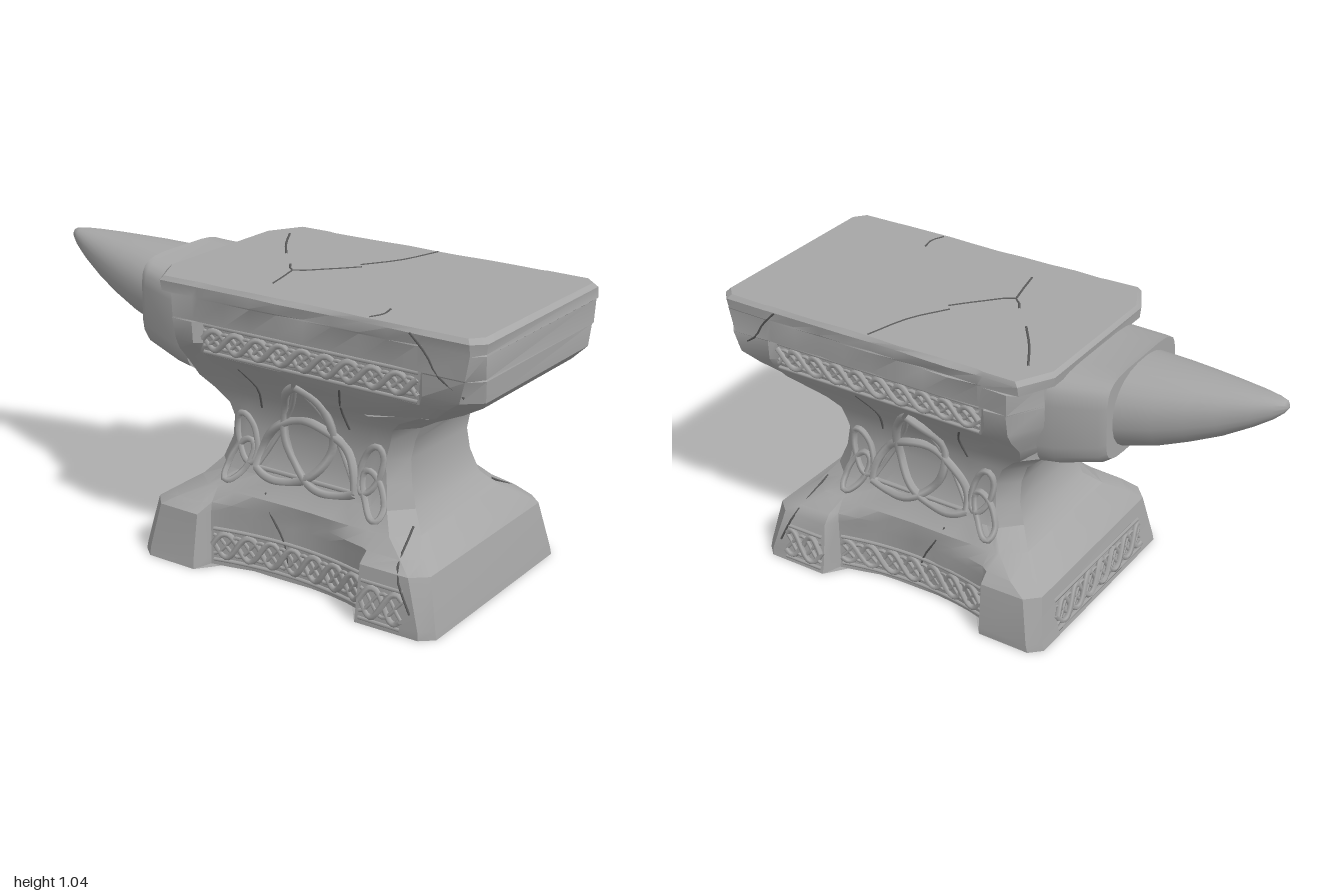
import * as THREE from 'three';
import { toCreasedNormals } from 'three/addons/utils/BufferGeometryUtils.js';

const V = (x, y, z) => new THREE.Vector3(x, y, z);

// Body levels: y, left x, right x, half depth, corner chamfer
const LEVELS = [
  [0, -0.34, 0.86, 0.44, 0.04], [0.03, -0.338, 0.855, 0.438, 0.04], [0.2, -0.315, 0.815, 0.415, 0.05],
  [0.235, -0.26, 0.77, 0.385, 0.06], [0.28, -0.19, 0.71, 0.33, 0.07], [0.34, -0.14, 0.66, 0.275, 0.07],
  [0.42, -0.115, 0.63, 0.25, 0.06], [0.5, -0.115, 0.62, 0.24, 0.06], [0.57, -0.14, 0.635, 0.245, 0.06],
  [0.62, -0.2, 0.66, 0.26, 0.07], [0.66, -0.26, 0.72, 0.285, 0.08], [0.72, -0.265, 0.84, 0.325, 0.09],
  [0.78, -0.265, 0.94, 0.375, 0.08], [0.82, -0.265, 0.975, 0.4, 0.06], [0.895, -0.265, 0.985, 0.405, 0.05],
  [0.9, -0.265, 0.985, 0.405, 0.05], [0.98, -0.27, 0.99, 0.407, 0.04], [0.985, -0.31, 0.99, 0.407, 0.04],
  [1.02, -0.31, 0.99, 0.41, 0.04], [1.035, -0.3, 0.978, 0.397, 0.04],
];

// Recessed panels in the long sides: start x, end x, depth at ends, depth in the middle
function recess(y) {
  if (y < 0.3) return [-0.1, 0.58, 0.375, 0.325];
  if (y < 0.7) return [-0.03, 0.52, 9, 9];
  return y > 0.77 && y < 0.898 ? [-0.11, 0.79, 0.38, 0.38] : [-0.11, 0.79, 9, 9];
}

function levelAt(y) {
  let i = 0;
  while (i < LEVELS.length - 2 && LEVELS[i + 1][0] < y) i++;
  const a = LEVELS[i], b = LEVELS[i + 1];
  const t = (y - a[0]) / (b[0] - a[0]);
  return a.map((v, k) => v + (b[k] - v) * t);
}

// Half depth of the body surface at a given x and y
function surfaceZ(x, y) {
  const [, x0, x1, hz, c] = levelAt(y);
  const [xa, xb, zEnd, zMid] = recess(y);
  const t = (x - xa) / (xb - xa);
  if (t > 0 && t < 1) return Math.min(hz, zEnd + (zMid - zEnd) * 4 * t * (1 - t));
  return hz - Math.max(0, x0 + c - x, x - x1 + c);
}

// Closed skin over equal-length rings, with both ends capped
function loft(rings, crease) {
  const n = rings[0].length, pos = [], idx = [];
  rings.forEach(r => r.forEach(p => pos.push(p.x, p.y, p.z)));
  for (let j = 0; j < rings.length - 1; j++) {
    for (let i = 0; i < n; i++) {
      const a = j * n + i, b = j * n + (i + 1) % n;
      idx.push(a, b, b + n, a, b + n, a + n);
    }
  }
  [0, rings.length - 1].forEach((j, end) => {
    const c = rings[j].reduce((s, p) => s.add(p), V(0, 0, 0)).divideScalar(n);
    const k = pos.length / 3;
    pos.push(c.x, c.y, c.z);
    for (let i = 0; i < n; i++) {
      const a = j * n + i, b = j * n + (i + 1) % n;
      if (end) idx.push(k, a, b); else idx.push(k, b, a);
    }
  });
  const g = new THREE.BufferGeometry();
  g.setAttribute('position', new THREE.Float32BufferAttribute(pos, 3));
  g.setIndex(idx);
  return toCreasedNormals(g, crease);
}

// Small repeatable unevenness for hewn edges
function chip(a, b) {
  const s = Math.sin(a * 12.99 + b * 78.23) * 43758.55;
  return (s - Math.floor(s) - 0.5) * 0.009;
}

function bodyRing(level, j) {
  const [y, x0, x1, hz, c] = level;
  const [xa, xb] = recess(y);
  const lx = y > 0.7 ? 0.07 : c, lz = y > 0.7 ? 0.12 : c;
  const front = [[x0, hz - lz], [x0 + lx, hz], [xa, hz]];
  for (let i = 0; i <= 8; i++) {
    const x = xa + 0.025 + (xb - xa - 0.05) * i / 8;
    front.push([x, surfaceZ(x, y)]);
  }
  front.push([xb, hz], [x1 - c, hz], [x1, hz - c]);
  const back = front.map(([x, z]) => [x, -z]).reverse();
  return [...front, ...back].map(([x, z], i) => V(x + chip(i, j), y, z + chip(i + 40, j)));
}

// Section across x: rounded box between two heights
function crossRing(x, bottom, top, half, power, n) {
  const bend = v => Math.sign(v) * Math.pow(Math.abs(v), 2 / power);
  return Array.from({ length: n }, (_, i) => {
    const a = (i + 0.5) / n * Math.PI * 2;
    return V(x, (top + bottom) / 2 + bend(Math.sin(a)) * (top - bottom) / 2, bend(Math.cos(a)) * half);
  });
}

export function createModel() {
  const group = new THREE.Group();
  const stone = new THREE.MeshStandardMaterial({ color: 0xa6a6a6 });
  const crackShade = new THREE.MeshStandardMaterial({ color: 0x5c5c5c });

  function add(name, geometry, material = stone) {
    const mesh = new THREE.Mesh(geometry, material);
    mesh.name = name;
    group.add(mesh);
  }
  function rope(name, points, radius, closed = false, material = stone) {
    const curve = new THREE.CatmullRomCurve3(points, closed);
    add(name, new THREE.TubeGeometry(curve, points.length * 2, radius, 5, closed), material);
  }

  // Base, waist and table in one hewn block
  add('body', loft(LEVELS.map(bodyRing), 0.5));

  // Collar and horn
  add('collar', loft([
    crossRing(-0.24, 0.64, 1.0, 0.285, 5, 24), crossRing(-0.3, 0.65, 1.0, 0.28, 5, 24),
    crossRing(-0.45, 0.69, 1.01, 0.25, 5, 24), crossRing(-0.475, 0.705, 1.015, 0.235, 5, 24),
  ], 0.6));
  add('horn', loft([
    [-0.44, 0.7, 1.005, 0.205], [-0.6, 0.742, 1.01, 0.168], [-0.7, 0.783, 1.01, 0.14], [-0.8, 0.83, 1.01, 0.107],
    [-0.9, 0.89, 1.008, 0.07], [-0.96, 0.932, 1.005, 0.042], [-0.99, 0.96, 1.0, 0.022], [-1, 0.975, 0.99, 0.008],
  ].map(([x, b, t, h]) => crossRing(x, b, t, h, 2.3, 24)), 0.8));

  // Interlaced band: two crossing waves between two rails; place maps (u, y, lift) to space
  function knotBand(name, u0, u1, y0, y1, place) {
    const steps = Math.round((u1 - u0) / 0.018), mid = (y0 + y1) / 2, amp = (y1 - y0) / 2 - 0.02;
    const along = f => Array.from({ length: steps + 1 }, (_, i) => f(u0 + (u1 - u0) * i / steps));
    for (const s of [-1, 1]) {
      rope(name + 'Strand', along(u => {
        const a = (u - u0) * Math.PI * 2 / 0.18;
        return place(u, mid + s * amp * Math.sin(a), 0.004 + s * 0.005 * Math.cos(a));
      }), 0.011);
      rope(name + 'Loop', along(u => {
        const a = (u - u0) * Math.PI * 2 / 0.18;
        return place(u, mid + s * amp * 0.8 * Math.cos(a), 0.002);
      }), 0.007);
      rope(name + 'Rail', along(u => place(u, mid + s * (amp + 0.014), 0.002)), 0.007);
    }
  }

  for (const side of [1, -1]) {
    const onSide = (x, y, lift) => V(x, y, side * (surfaceZ(x, y) + lift));
    knotBand('tableBand', -0.08, 0.76, 0.785, 0.892, onSide);
    knotBand('baseBand', -0.065, 0.545, 0.015, 0.145, onSide);
    knotBand('footBand', 0.59, 0.75, 0.015, 0.155, onSide);

    // Three-pointed knot on the waist: each arc joins two tips past the centre
    const R = 0.235, cx = 0.255, cy = 0.485;
    const tips = [0, 1, 2].map(k => Math.PI / 2 + k * Math.PI * 2 / 3);
    for (const tip of tips) {
      const dir = tip + Math.PI / 3;
      const mx = cx + Math.cos(dir) * R / 2, my = cy + Math.sin(dir) * R / 2;
      rope('waistKnotArc', Array.from({ length: 17 }, (_, i) => {
        const a = dir + Math.PI / 2 + Math.PI * i / 16;
        return onSide(mx + Math.cos(a) * R * 0.866, my + Math.sin(a) * R * 0.866, 0.006 + 0.006 * Math.sin(i * 1.2));
      }), 0.016);
      const next = tip + Math.PI * 2 / 3;
      rope('waistKnotEdge', Array.from({ length: 9 }, (_, i) => {
        const t = i / 8;
        return onSide(cx + R * (Math.cos(tip) * (1 - t) + Math.cos(next) * t),
          cy + R * (Math.sin(tip) * (1 - t) + Math.sin(next) * t), 0.002);
      }), 0.009);
    }

    // Linked loops beside it
    for (const m of [-1, 1]) {
      for (const [dx, y, h, lean] of [[0.255, 0.46, 0.085, 0.02], [0.275, 0.38, 0.075, -0.03]]) {
        rope('waistSideLoop', Array.from({ length: 14 }, (_, i) => {
          const a = i / 14 * Math.PI * 2;
          return onSide(cx + m * (dx + Math.cos(a) * 0.04 + Math.sin(a) * lean), y + Math.sin(a) * h, 0.005);
        }), 0.012, true);
      }
    }

    // Cracks on the long sides
    for (const line of [
      [[0.74, 1.02], [0.8, 0.96], [0.84, 0.9], [0.93, 0.84]],
      [[0.12, 0.3], [0.15, 0.24], [0.21, 0.14], [0.23, 0.03]],
      [[0.45, 0.76], [0.41, 0.66], [0.42, 0.58]],
      [[0.03, 0.74], [0.07, 0.66], [0.06, 0.58]],
      [[0.68, 0.3], [0.72, 0.2], [0.78, 0.08]],
    ]) rope('sideCrack', line.map(([x, y]) => onSide(x, y, 0)), 0.004, false, crackShade);
  }

  // Band on the horn end of the base
  knotBand('endBand', -0.3, 0.3, 0.02, 0.15, (z, y, lift) => V(levelAt(y)[1] - lift, y, z));

  // Cracks across the table top
  for (const line of [
    [[-0.21, -0.29], [-0.14, -0.17], [-0.06, -0.06]],
    [[0.36, -0.39], [0.31, -0.22], [0.23, -0.09]],
    [[0.03, 0.04], [0.08, 0.1], [0.17, 0.02], [0.25, -0.07]],
    [[0.08, 0.1], [0.1, 0.18], [0.12, 0.27]],
    [[0.58, 0.39], [0.6, 0.34], [0.59, 0.28]],
  ]) rope('topCrack', line.map(([x, z]) => V(x, 1.033, z)), 0.005, false, crackShade);

  return group;
}
